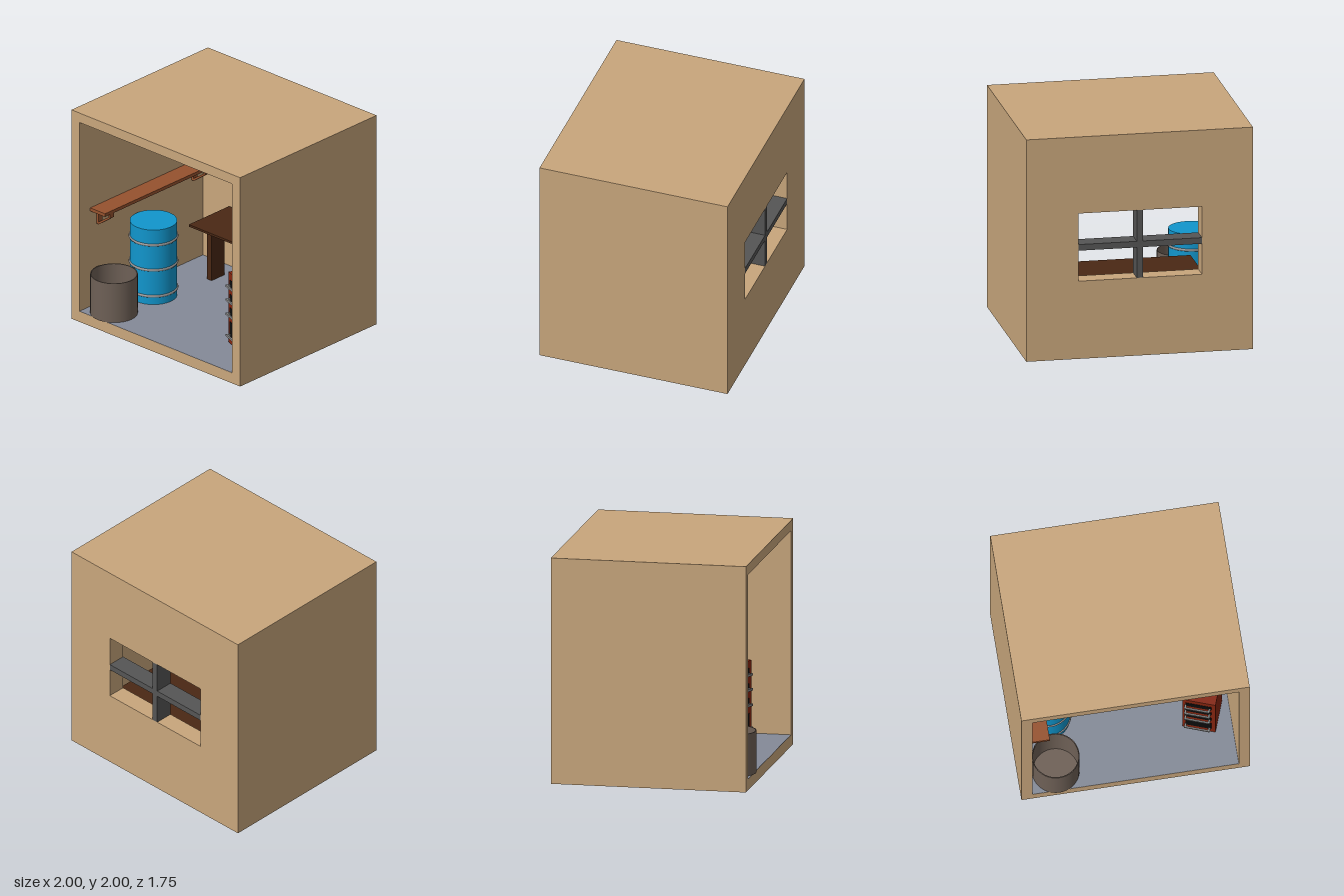
import * as THREE from 'three';

const mat = (color, double = false) => new THREE.MeshStandardMaterial({
  color, side: double ? THREE.DoubleSide : THREE.FrontSide });
const WALL = mat(0xc8a67c), FLOOR = mat(0x848a98), FRAME = mat(0x555555);
const DARK_WOOD = mat(0x4a2814), WOOD = mat(0x96522e), RED = mat(0x85250f);
const BLACK = mat(0x0c0c0c), METAL = mat(0x8c8c8c), BLUE = mat(0x1196cd), BIN = mat(0x6e6056, true);

function add(parent, name, geometry, material) {
  const mesh = new THREE.Mesh(geometry, material);
  mesh.name = name;
  parent.add(mesh);
  return mesh;
}

// Box given by its limits on each axis
function box(parent, name, material, x0, x1, y0, y1, z0, z1) {
  const mesh = add(parent, name, new THREE.BoxGeometry(x1 - x0, y1 - y0, z1 - z0), material);
  mesh.position.set((x0 + x1) / 2, (y0 + y1) / 2, (z0 + z1) / 2);
  return mesh;
}

function group(parent, name) {
  const g = new THREE.Group();
  g.name = name;
  parent.add(g);
  return g;
}

const rect = (P, x0, x1, y0, y1) => new P([[x0, y0], [x1, y0], [x1, y1], [x0, y1]]
  .map(([x, y]) => new THREE.Vector2(x, y)));

// Rectangular slab in the xy plane with a rectangular hole
function holedSlab(parent, name, hole, z0, z1) {
  const shape = rect(THREE.Shape, -1, 1, 0, 2);
  shape.holes.push(rect(THREE.Path, ...hole));
  const mesh = add(parent, name,
    new THREE.ExtrudeGeometry(shape, { depth: z1 - z0, bevelEnabled: false }), WALL);
  mesh.position.z = z0;
}

function buildRoom(root) {
  const room = group(root, 'room');
  holedSlab(room, 'roomShell', [-0.905, 0.905, 0.1, 1.91], -0.705, 0.855);
  holedSlab(room, 'backWall', [-0.55, 0.54, 0.7, 1.31], -0.87, -0.705);
  box(room, 'floor', FLOOR, -0.905, 0.905, 0.098, 0.102, -0.705, 0.854);
  box(room, 'windowPost', FRAME, -0.03, 0.025, 0.7, 1.31, -0.87, -0.705);
  box(room, 'windowBarRight', FRAME, -0.55, -0.03, 0.975, 1.03, -0.87, -0.705);
  box(room, 'windowBarLeft', FRAME, 0.025, 0.54, 0.975, 1.03, -0.87, -0.705);
}

function buildBarrels(root) {
  const barrel = group(root, 'barrel');
  barrel.position.set(-0.67, 0, 0.17);
  add(barrel, 'barrelBody', new THREE.CylinderGeometry(0.205, 0.205, 0.715, 40), BLUE).position.y = 0.4575;
  for (const y of [0.18, 0.43, 0.67]) {
    const hoop = add(barrel, 'barrelHoop', new THREE.TorusGeometry(0.204, 0.012, 8, 40), METAL);
    hoop.rotation.x = Math.PI / 2;
    hoop.position.y = y;
  }
  // Open bin with a thin wall
  const bin = group(root, 'bin');
  bin.position.set(-0.67, 0, 0.669);
  add(bin, 'binWall', new THREE.CylinderGeometry(0.206, 0.206, 0.373, 40, 1, true), BIN).position.y = 0.2885;
  add(bin, 'binInner', new THREE.CylinderGeometry(0.198, 0.198, 0.373, 40, 1, true), BIN).position.y = 0.2885;
  const rim = add(bin, 'binRim', new THREE.RingGeometry(0.198, 0.206, 40), BIN);
  rim.rotation.x = -Math.PI / 2;
  rim.position.y = 0.475;
  const base = add(bin, 'binBase', new THREE.CircleGeometry(0.2, 40), BIN);
  base.rotation.x = -Math.PI / 2;
  base.position.y = 0.11;
}

function buildDesk(root) {
  const desk = group(root, 'desk');
  box(desk, 'deskTop', DARK_WOOD, -0.586, 0.586, 0.655, 0.675, -0.695, -0.187);
  for (const s of [-1, 1]) {
    box(desk, 'deskLeg', DARK_WOOD, s * 0.521 - 0.028, s * 0.521 + 0.028, 0.1, 0.656, -0.54, -0.375);
  }
  box(desk, 'deskDrawerCase', DARK_WOOD, 0.29, 0.48, 0.553, 0.656, -0.6, -0.2);
  box(desk, 'deskDrawerFront', WOOD, 0.302, 0.468, 0.563, 0.648, -0.21, -0.194);
  add(desk, 'deskDrawerKnob', new THREE.SphereGeometry(0.011, 12, 8), DARK_WOOD).position.set(0.385, 0.608, -0.188);
}

function buildShelf(root) {
  const shelf = group(root, 'wallShelf');
  box(shelf, 'shelfBoard', WOOD, -0.905, -0.73, 1.015, 1.045, -0.66, 0.72);
  // Brackets: wall post, short outer post and a sloping brace
  const outline = new THREE.Shape([[-0.897, 0.875], [-0.868, 0.875], [-0.736, 0.972], [-0.736, 1.016], [-0.897, 1.016]]
    .map(([x, y]) => new THREE.Vector2(x, y)));
  outline.holes.push(new THREE.Path([[-0.872, 0.897], [-0.752, 0.982], [-0.752, 1.012], [-0.872, 1.012]]
    .map(([x, y]) => new THREE.Vector2(x, y))));
  for (const z of [-0.6, 0.6]) {
    add(shelf, 'shelfBracket', new THREE.ExtrudeGeometry(outline, { depth: 0.05, bevelEnabled: false }), WOOD).position.z = z;
  }
}

function buildCabinet(root) {
  const W = 0.292, D = 0.29;
  const cabinet = group(root, 'toolCabinet');
  cabinet.position.set(0.475, 0, 0.44);
  cabinet.rotation.y = -THREE.MathUtils.degToRad(20);
  box(cabinet, 'cabinetBody', RED, 0, W, 0.112, 0.785, -D, 0);
  for (const x of [0.02, W - 0.05]) for (const z of [-0.045, -D + 0.015]) {
    box(cabinet, 'cabinetFoot', RED, x, x + 0.03, 0.1, 0.114, z, z + 0.03);
  }
  // Drawer panel limits and the height of each handle
  for (const [y0, y1, h] of [[0.65, 0.72, 0.668], [0.52, 0.585, 0.536], [0.385, 0.455, 0.4], [0.18, 0.32, 0.195]]) {
    box(cabinet, 'drawerPanel', BLACK, 0.027, 0.255, y0, y1, -0.01, 0.003);
    box(cabinet, 'drawerHandle', METAL, 0.022, 0.248, h - 0.008, h + 0.011, 0.026, 0.04);
    for (const x of [0.022, 0.231]) {
      box(cabinet, 'handlePost', METAL, x, x + 0.017, h - 0.014, h + 0.008, 0, 0.03);
    }
  }
}

export function createModel() {
  const root = new THREE.Group();
  root.name = 'workshopRoom';
  buildRoom(root);
  buildBarrels(root);
  buildDesk(root);
  buildShelf(root);
  buildCabinet(root);
  return root;
}
